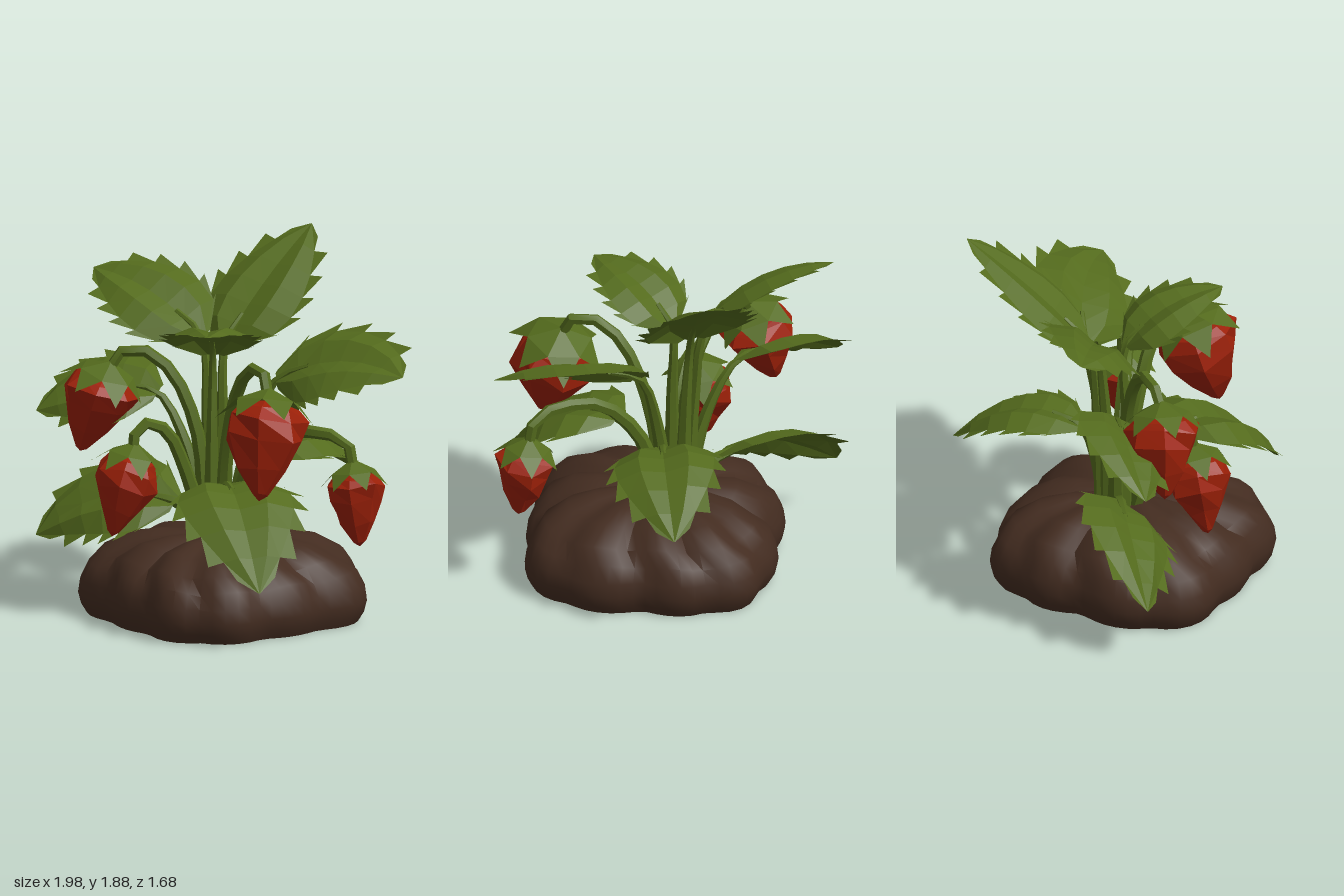
import * as THREE from 'three';
import { toCreasedNormals } from 'three/addons/utils/BufferGeometryUtils.js';

const V = (a) => new THREE.Vector3(...a);

const leafGreen = new THREE.MeshStandardMaterial({ color: 0x546b1d, side: THREE.DoubleSide });
leafGreen.name = 'leafGreen';
const berryRed = new THREE.MeshStandardMaterial({ color: 0x9c2008 });
berryRed.name = 'berryRed';
const soilBrown = new THREE.MeshStandardMaterial({ color: 0x432c20 });
soilBrown.name = 'soilBrown';

function addMesh(parent, geometry, material, name) {
  const mesh = new THREE.Mesh(geometry, material);
  mesh.name = name;
  parent.add(mesh);
}

// Faceted geometry from a list of triangles given as Vector3 triples
function facets(points) {
  const g = new THREE.BufferGeometry().setFromPoints(points);
  g.computeVertexNormals();
  return g;
}

// Tapered stem along a smooth path
function stemGeometry(path, r0, r1) {
  const curve = new THREE.CatmullRomCurve3(path.map(V));
  const steps = 10, sides = 6;
  const g = new THREE.TubeGeometry(curve, steps, 1, sides, false);
  const pos = g.attributes.position, p = new THREE.Vector3();
  for (let i = 0; i <= steps; i++) {
    const centre = curve.getPointAt(i / steps);
    for (let j = 0; j <= sides; j++) {
      const k = i * (sides + 1) + j;
      p.fromBufferAttribute(pos, k).sub(centre).multiplyScalar(r0 + (r1 - r0) * i / steps).add(centre);
      pos.setXYZ(k, p.x, p.y, p.z);
    }
  }
  return toCreasedNormals(g, 0.6);
}

// Toothed leaf blade bent along base - mid - tip, facing the hint direction
function leafGeometry(base, mid, tip, width, facing) {
  const curve = new THREE.QuadraticBezierCurve3(V(base), V(mid), V(tip));
  const rows = 6, tris = [];
  const halfWidth = (t) => width * 0.42 * (0.3 * (1 - t) + Math.pow(Math.sin(Math.PI * Math.pow(t, 0.8)), 0.7));
  // u runs from midrib (0) to edge (1); the blade is quilted halfway
  const at = (t, u, s) => {
    const dir = curve.getTangent(t);
    const side = dir.clone().cross(V(facing)).normalize();
    const up = side.clone().cross(dir);
    const w = halfWidth(Math.min(t, 0.999));
    const lift = u <= 0.5 ? u * 0.24 : 0.32 - u * 0.4;
    return curve.getPoint(t).addScaledVector(side, s * w * u).addScaledVector(up, w * lift);
  };
  for (const s of [-1, 1]) {
    for (let i = 0; i < rows; i++) {
      const a = i / rows, b = (i + 1) / rows;
      for (const [u, v] of [[0, 0.5], [0.5, 1]]) {
        const q = [at(a, u, s), at(a, v, s), at(b, v, s), at(b, u, s)];
        const order = s > 0 ? [0, 1, 2, 0, 2, 3] : [0, 2, 1, 0, 3, 2];
        tris.push(...order.map((k) => q[k]));
      }
      // forward-pointing tooth on the rim, shorter towards the tip
      const e0 = at(a, 1, s), e1 = at(b, 1, s);
      const dir = curve.getTangent(b), out = dir.clone().cross(V(facing)).normalize();
      const size = width * (i === rows - 1 ? 0.04 : 0.12);
      const tooth = e1.clone().lerp(e0, i === rows - 1 ? 0.5 : 0.15)
        .addScaledVector(out, s * size).addScaledVector(dir, size * 0.6);
      tris.push(...(s > 0 ? [e0, tooth, e1] : [e0, e1, tooth]));
    }
  }
  return facets(tris);
}

// Faceted berry hanging below its origin, with slight irregularity
function berryGeometry(r, h, seed) {
  const profile = [[0, 1], [0.2, 0.94], [0.6, 0.69], [0.95, 0.4], [1, 0.2], [0.78, 0.09], [0.4, 0.03], [0, 0.02]];
  const g = new THREE.LatheGeometry(profile.map(([x, y]) => new THREE.Vector2(x * r, -y * h)), 7);
  const pos = g.attributes.position;
  for (let i = 0; i < pos.count; i++) {
    const x = pos.getX(i), y = pos.getY(i), z = pos.getZ(i);
    const wobble = y < -0.15 * h ? 0.11 : 0.03;
    const k = 1 + wobble * Math.sin(x * 23 + y * 31 + z * 17 + seed);
    pos.setXYZ(i, x * k, y + wobble * 0.4 * h * Math.sin(x * 29 - z * 21 + seed) * Math.hypot(x, z) / r, z * k);
  }
  const flat = g.toNonIndexed();
  flat.computeVertexNormals();
  return flat;
}

// Star of spreading sepals over the top of a berry
function capGeometry(r, h) {
  const n = 6, tris = [], top = V([0, 0.06, 0]);
  const ring = (k, rad, y) => {
    const a = k / n * Math.PI * 2;
    return V([Math.sin(a) * rad, y, Math.cos(a) * rad]);
  };
  for (let k = 0; k < n; k++) {
    const a = ring(k, 0.78 * r, -0.02 * h), b = ring(k + 1, 0.78 * r, -0.02 * h);
    tris.push(top, a, b, a, ring(k + 0.5, (k % 2 ? 1.14 : 1.24) * r, -0.22 * h), b);
  }
  return facets(tris);
}

// Lumpy, slightly diamond-shaped mound: a turned profile with staggered lobes
function soilGeometry() {
  const profile = [[0, 0], [0.675, 0], [0.705, 0.05], [0.72, 0.11], [0.71, 0.18], [0.67, 0.25], [0.6, 0.32],
    [0.47, 0.39], [0.32, 0.42], [0.14, 0.43], [0, 0.42]];
  const g = new THREE.LatheGeometry(profile.map((p) => new THREE.Vector2(...p)), 66);
  const pos = g.attributes.position;
  for (let i = 0; i < pos.count; i++) {
    const x = pos.getX(i), y = pos.getY(i), z = pos.getZ(i);
    const a = Math.atan2(x, z), r = Math.hypot(x, z);
    const shift = y > 0.28 ? 0.8 : 0;
    const lobe = Math.abs(Math.sin(5.5 * a + shift + 0.35 * Math.sin(2 * a)));
    const k = 0.92 + 0.06 * lobe + 0.07 * Math.cos(4 * a);
    const bump = y > 0.2 ? 0.03 * (lobe - 0.3) * Math.min(1, r / 0.4) : 0;
    pos.setXYZ(i, x * k + 0.04, y + bump, z * k - 0.02);
  }
  return toCreasedNormals(g, 0.7);
}

// base, middle control, tip, width, facing direction
const LEAVES = [
  ['backTopLeaf', [0.0, 1.36, -0.27], [0.13, 1.63, -0.47], [0.35, 1.88, -0.81], 0.53, [0, 1, 0.2]],
  ['upperRightLeaf', [-0.12, 1.4, -0.25], [-0.4, 1.66, -0.36], [-0.73, 1.67, -0.53], 0.5, [0, 0.9, 0.45]],
  ['upperFrontLeaf', [-0.03, 1.34, -0.08], [-0.01, 1.57, 0.1], [0.04, 1.56, 0.46], 0.44, [0, 1, 0]],
  ['upperLeftLeaf', [0.28, 1.2, -0.2], [0.62, 1.41, -0.16], [0.99, 1.31, 0.11], 0.56, [0, 0.87, 0.48]],
  ['middleRightLeaf', [-0.34, 1.1, -0.22], [-0.64, 1.19, -0.27], [-0.98, 0.97, -0.26], 0.52, [-0.1, 0.87, 0.48]],
  ['lowerRightLeaf', [-0.24, 0.54, -0.17], [-0.62, 0.66, -0.24], [-0.98, 0.32, -0.25], 0.53, [-0.1, 0.83, 0.55]],
  ['lowerFrontLeaf', [0.09, 0.73, 0.2], [0.2, 0.83, 0.5], [0.38, 0.32, 0.84], 0.6, [0.1, 1, 0.3]],
  ['lowerBackLeaf', [0.17, 0.78, -0.25], [0.38, 0.95, -0.5], [0.56, 0.61, -0.82], 0.52, [0.2, 1, -0.1]],
];

// top, tip, radius, stem path from the ground
const BERRIES = [
  ['upperRightBerry', [-0.57, 1.24, -0.05], [-0.72, 0.81, -0.08], 0.19,
    [[-0.07, 0.4, -0.1], [-0.12, 0.95, -0.1], [-0.26, 1.26, -0.09], [-0.42, 1.36, -0.08], [-0.54, 1.32, -0.06]]],
  ['frontBerry', [0.34, 1.23, 0.37], [0.32, 0.73, 0.53], 0.215,
    [[0.02, 0.4, -0.08], [0.06, 0.9, 0.0], [0.15, 1.25, 0.12], [0.25, 1.36, 0.24], [0.32, 1.33, 0.33]]],
  ['lowerRightBerry', [-0.4, 0.87, 0.17], [-0.5, 0.44, 0.22], 0.165,
    [[-0.06, 0.4, -0.04], [-0.16, 0.78, 0.03], [-0.24, 0.97, 0.08], [-0.33, 1.02, 0.12], [-0.39, 0.97, 0.16]]],
  ['leftBerry', [0.74, 0.82, 0.14], [0.78, 0.43, 0.17], 0.15,
    [[0.04, 0.4, -0.1], [0.18, 0.8, -0.04], [0.36, 0.98, 0.04], [0.56, 1.0, 0.11], [0.7, 0.97, 0.13]]],
];

export function createModel() {
  const model = new THREE.Group();
  model.name = 'berryPlant';
  addMesh(model, soilGeometry(), soilBrown, 'soilMound');

  // Leaves, each with a stem that runs on as the lower midrib
  LEAVES.forEach(([name, base, mid, tip, width, facing]) => {
    const group = new THREE.Group();
    group.name = name;
    model.add(group);
    addMesh(group, leafGeometry(base, mid, tip, width, facing), leafGreen, 'blade');
    const angle = Math.atan2(base[0], base[2] + 0.14);
    const foot = [0.06 * Math.sin(angle) - 0.01, 0.38, -0.13 + 0.06 * Math.cos(angle)];
    const knee = [0.6 * foot[0] + 0.4 * base[0], 0.4 + 0.6 * (base[1] - 0.4), 0.6 * foot[2] + 0.4 * base[2]];
    const rib = new THREE.QuadraticBezierCurve3(V(base), V(mid), V(tip)).getPoint(0.25).toArray();
    addMesh(group, stemGeometry([foot, knee, base, rib], 0.048, 0.014), leafGreen, 'leafStem');
  });

  // Hanging berries with caps and arched stems
  BERRIES.forEach(([name, top, tip, r, path], i) => {
    const axis = V(top).sub(V(tip)), h = axis.length();
    const berry = new THREE.Group();
    berry.name = name;
    berry.position.copy(V(top));
    berry.quaternion.setFromUnitVectors(new THREE.Vector3(0, 1, 0), axis.normalize());
    addMesh(berry, berryGeometry(r, h, i * 2.1), berryRed, 'fruit');
    addMesh(berry, capGeometry(r, h), leafGreen, 'sepals');
    model.add(berry);
    addMesh(model, stemGeometry([...path, top], 0.042, 0.029), leafGreen, name + 'Stem');
  });
  return model;
}
